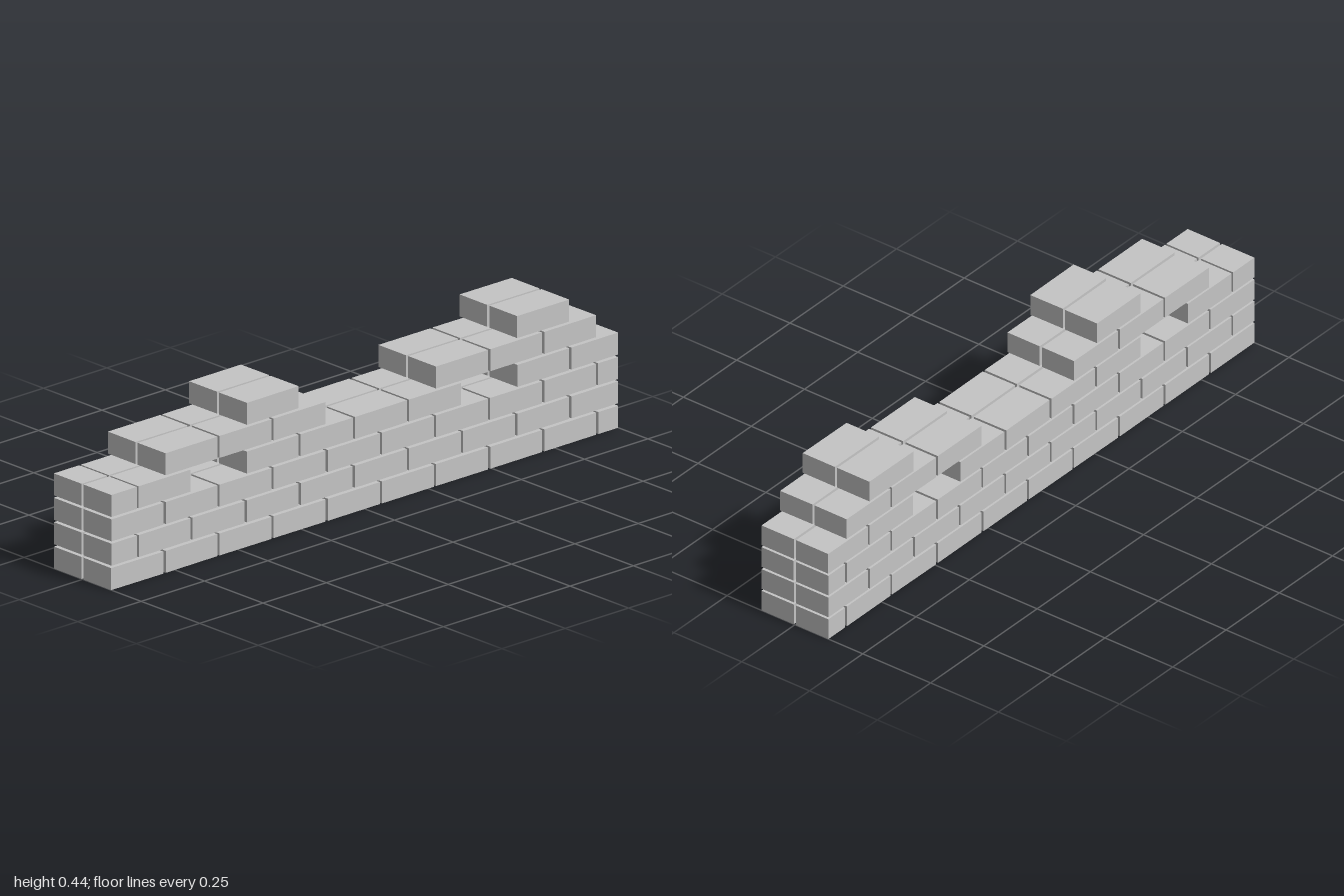
import * as THREE from 'three';

const PITCH = 0.2135, LENGTH = 0.205;       // brick spacing and length
const RISE = 0.0754, HEIGHT = 0.068;        // course spacing and brick height
const DEPTH = 0.119, ROW_Z = 0.0637;        // brick depth and offset of the two rows

// Brick slots that are present in each course, bottom to top
const COURSES = [
  [0, 1, 2, 3, 4, 5, 6, 7, 8, 9],
  [0, 1, 2, 3, 4, 5, 6, 7, 8, 9],
  [0, 1, 2, 3, 4, 5, 6, 7, 8, 9],
  [0, 1, 3, 4, 5, 6, 8, 9],
  [1, 2, 3, 6, 7, 8],
  [3, 8],
];

// Left and right ends of a slot; odd courses begin with a half brick
function slotEnds(course, slot) {
  if (course % 2 === 0) {
    const start = -1 + PITCH * slot;
    return [start, Math.min(start + LENGTH, 1)];
  }
  if (slot === 0) return [-1, -0.9];
  const start = -0.893 + PITCH * (slot - 1);
  return [start, Math.min(start + LENGTH, 1)];
}

export function createModel() {
  const wall = new THREE.Group();
  wall.name = 'brokenBrickWall';
  const stone = new THREE.MeshStandardMaterial({ color: 0xc4c4c4 });
  stone.name = 'greyStone';

  // Seeded random for slightly uneven laying
  let seed = 7;
  const random = () => (seed = (seed * 16807) % 2147483647) / 2147483647;

  COURSES.forEach((slots, course) => {
    const group = new THREE.Group();
    group.name = `course${course + 1}`;
    group.position.y = course * RISE + HEIGHT / 2;
    wall.add(group);

    // Front and back row of bricks
    for (const side of [1, -1]) {
      for (const slot of slots) {
        const [start, end] = slotEnds(course, slot);
        const brick = new THREE.Mesh(new THREE.BoxGeometry(end - start, HEIGHT, DEPTH), stone);
        brick.name = side > 0 ? 'frontBrick' : 'backBrick';
        brick.position.set((start + end) / 2, 0, side * ROW_Z);
        brick.rotation.y = (random() - 0.5) * 0.016;
        group.add(brick);
      }
    }
  });
  return wall;
}
